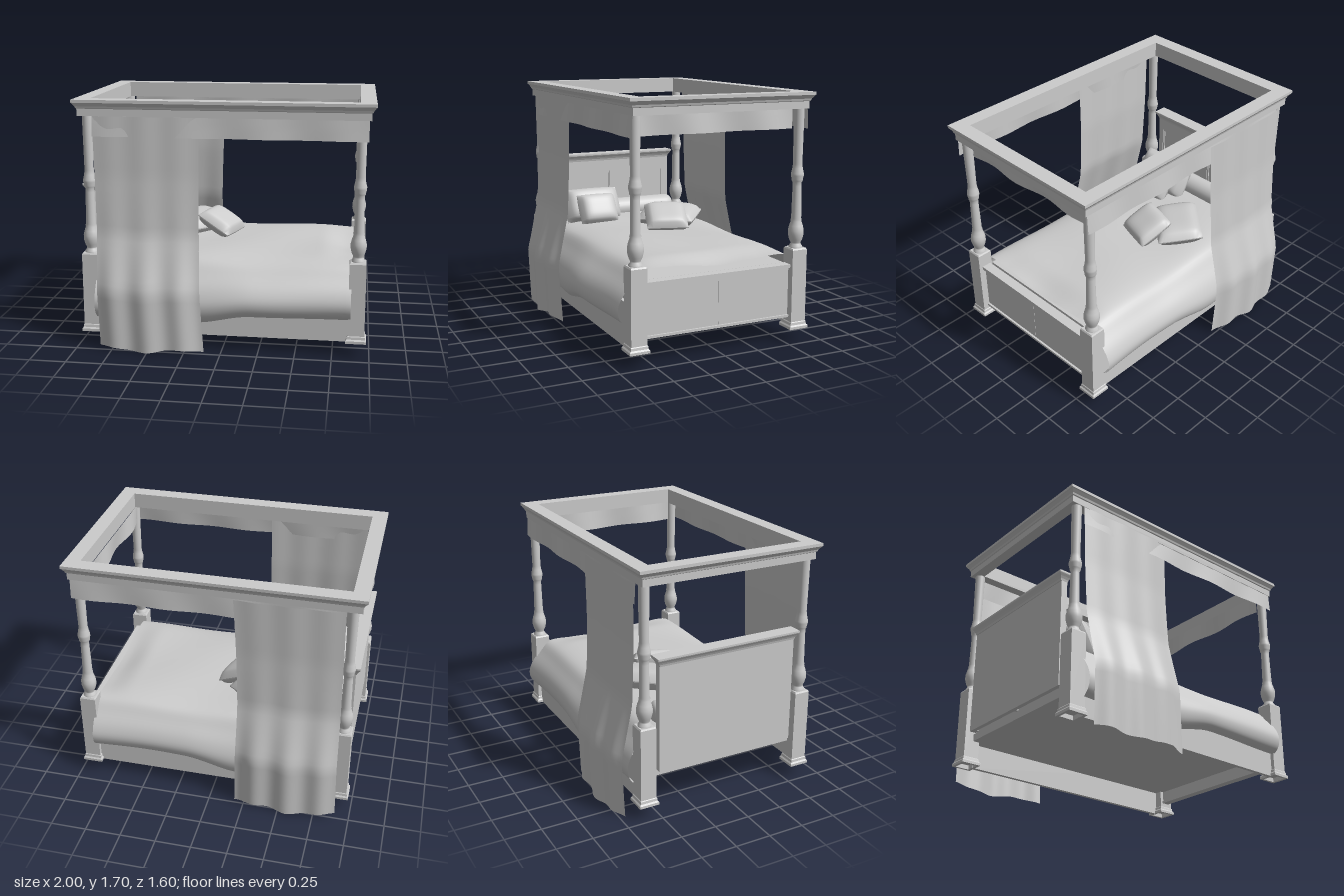
import * as THREE from 'three';

const mat = new THREE.MeshStandardMaterial({ color: 0xcccccc });
const clothMat = new THREE.MeshStandardMaterial({ color: 0xcccccc, side: THREE.DoubleSide });

function add(parent, name, geometry, x = 0, y = 0, z = 0, material = mat) {
  const mesh = new THREE.Mesh(geometry, material);
  mesh.name = name;
  mesh.position.set(x, y, z);
  parent.add(mesh);
  return mesh;
}

// Box given by its minimum and maximum on each axis
function block(parent, name, x0, x1, y0, y1, z0, z1) {
  return add(parent, name, new THREE.BoxGeometry(x1 - x0, y1 - y0, z1 - z0),
    (x0 + x1) / 2, (y0 + y1) / 2, (z0 + z1) / 2);
}

// Mitred rectangular moulding: profile of [outset, y], listed bottom to top on the outside
function moulding(hx, hz, profile) {
  const corners = [[1, 1], [1, -1], [-1, -1], [-1, 1]];
  const pos = [];
  const pt = (c, p) => [c[0] * (hx + p[0]), p[1], c[1] * (hz + p[0])];
  for (let i = 0; i < profile.length - 1; i++) {
    for (let k = 0; k < 4; k++) {
      const c = corners[k], d = corners[(k + 1) % 4];
      const a = pt(c, profile[i]), b = pt(d, profile[i]);
      const e = pt(d, profile[i + 1]), f = pt(c, profile[i + 1]);
      pos.push(...a, ...b, ...e, ...a, ...e, ...f);
    }
  }
  const g = new THREE.BufferGeometry();
  g.setAttribute('position', new THREE.Float32BufferAttribute(pos, 3));
  g.computeVertexNormals();
  return g;
}

// Cloth sheet: fn(u, v) gives a point, u and v run 0..1
function sheet(nu, nv, fn) {
  const g = new THREE.PlaneGeometry(1, 1, nu, nv);
  const p = g.attributes.position;
  for (let i = 0; i < p.count; i++) p.setXYZ(i, ...fn(p.getX(i) + 0.5, p.getY(i) + 0.5));
  g.computeVertexNormals();
  return g;
}

// Cushion: a box swollen in the middle, thin at the seam; bow rounds the outline
function cushion(w, t, d, bow) {
  const g = new THREE.BoxGeometry(2, 2, 2, 14, 1, 14);
  const p = g.attributes.position;
  for (let i = 0; i < p.count; i++) {
    const u = p.getX(i), v = p.getZ(i);
    const h = Math.sqrt(Math.max(0, (1 - u ** 4) * (1 - v ** 4)));
    p.setXYZ(i, u * w / 2 * (1 - bow * v * v), p.getY(i) * (0.004 + t / 2 * h), v * d / 2 * (1 - bow * u * u));
  }
  g.computeVertexNormals();
  return g;
}

// Lookup in [key, value] pairs, eased between keys
function ramp(x, pairs) {
  for (let i = 1; i < pairs.length; i++) {
    const [a, va] = pairs[i - 1], [b, vb] = pairs[i];
    if (x <= b) return va + (vb - va) * THREE.MathUtils.smoothstep(x, a, b);
  }
  return pairs[pairs.length - 1][1];
}

export function createModel() {
  const bed = new THREE.Group();
  bed.name = 'fourPosterBed';
  const frame = new THREE.Group();
  frame.name = 'bedFrame';
  frame.position.z = 0.008;
  bed.add(frame);

  // Four posts: square lower block with a hollow plinth, turned shaft above
  const h = 0.056;
  const blockGeo = moulding(h, h, [[-h, 0.13], [-0.005, 0.13], [-0.005, 0.1], [0.014, 0.1], [0.014, 0.118],
    [0.006, 0.128], [0.004, 0.145], [0, 0.15], [0, 0.65], [-0.006, 0.66], [-h, 0.66]]);
  const shaft = [[0.045, 0.655], [0.045, 0.67], [0.034, 0.685], [0.034, 0.695], [0.044, 0.715],
    [0.053, 0.75], [0.053, 0.78], [0.046, 0.81], [0.036, 0.84], [0.038, 0.85], [0.034, 0.86],
    [0.03, 1.08], [0.03, 1.105], [0.037, 1.115], [0.037, 1.125], [0.043, 1.15], [0.043, 1.165],
    [0.035, 1.2], [0.031, 1.23], [0.035, 1.56], [0.035, 1.605]];
  const shaftGeo = new THREE.LatheGeometry(shaft.map(p => new THREE.Vector2(...p)), 24);
  for (const sx of [-1, 1]) for (const sz of [-1, 1]) {
    const post = new THREE.Group();
    post.name = 'post';
    post.position.set(sx * 0.909, 0, sz * 0.593);
    add(post, 'postBlock', blockGeo);
    add(post, 'postShaft', shaftGeo);
    frame.add(post);
  }

  // Canopy frame with stepped cornice
  add(frame, 'canopyFrame', moulding(0.97, 0.632, [[-0.075, 1.6], [0, 1.6], [0, 1.648], [0.006, 1.652],
    [0.01, 1.665], [0.025, 1.685], [0.03, 1.69], [0.03, 1.71], [-0.075, 1.71], [-0.075, 1.6]]));

  // Side rails and base
  for (const s of [-1, 1]) block(frame, 'sideRail', -0.86, 0.86, 0.1, 0.4, s * 0.608 - 0.014, s * 0.608 + 0.014);
  block(frame, 'bedBase', -0.9, 0.88, 0.27, 0.32, -0.595, 0.595);

  // Footboard in two panels with top cap and bottom lip
  block(frame, 'footboardCore', 0.88, 0.905, 0.185, 0.525, -0.54, 0.54);
  for (const s of [-1, 1]) block(frame, 'footboardPanel', 0.9, 0.915, 0.195, 0.52, s * 0.27 - 0.269, s * 0.27 + 0.269);
  block(frame, 'footboardCap', 0.868, 0.938, 0.525, 0.55, -0.54, 0.54);
  block(frame, 'footboardLip', 0.872, 0.93, 0.178, 0.195, -0.54, 0.54);

  // Headboard: back plate, stiles and rails around two panels, cornice
  block(frame, 'headboardPlate', -0.95, -0.92, 0.32, 1.08, -0.507, 0.507);
  block(frame, 'headboardTopRail', -0.92, -0.905, 0.97, 1.08, -0.507, 0.507);
  for (const z of [-0.487, 0, 0.487]) {
    const w = z ? 0.02 : 0.012;
    block(frame, 'headboardStile', -0.92, -0.905, 0.32, 0.97, z - w, z + w);
  }
  for (const s of [-1, 1]) {
    block(frame, 'panelBead', -0.92, -0.911, 0.957, 0.97, s * 0.241 - 0.229, s * 0.241 + 0.229);
    for (const z of [0.018, 0.461]) block(frame, 'panelBead', -0.92, -0.911, 0.5, 0.957, s * z - 0.006, s * z + 0.006);
  }
  add(frame, 'headboardCornice', moulding(0.026, 0.507, [[-0.026, 1.06], [0, 1.06], [0.004, 1.075],
    [0.012, 1.09], [0.022, 1.105], [0.024, 1.11], [0.024, 1.122], [-0.026, 1.122]]), -0.929);

  // Valances along the long sides and across the foot
  for (const s of [-1, 1]) {
    add(frame, 'sideValance', sheet(48, 3, (u, v) => [-0.87 + 1.825 * u, 1.465 + 0.14 * v,
      s * (0.628 + 0.008 * (1 - v) * (1 + Math.sin(u * 22)))]), 0, 0, 0, clothMat);
  }
  add(frame, 'footValance', sheet(40, 3, (u, v) => [0.888 + 0.014 * (1 - v) * Math.sin(u * 13),
    1.465 + 0.14 * v, -0.555 + 1.11 * u]), 0, 0, 0, clothMat);

  // Mattress, and a blanket whose cross-section is swept from head to foot
  block(bed, 'mattress', -0.88, 0.85, 0.32, 0.545, -0.53, 0.545);
  const half = [[0.3, 0.645], [0.46, 0.63], [0.545, 0.6], [0.61, 0.53], [0.675, 0.45],
    [0.705, 0.37], [0.69, 0.3], [0.645, 0.255]];
  const drape = new THREE.CatmullRomCurve3([
    ...half.map(([z, y]) => new THREE.Vector3(0, y, -z)).reverse(),
    new THREE.Vector3(0, 0.645, 0),
    ...half.map(([z, y]) => new THREE.Vector3(0, y, z))]);
  add(bed, 'blanket', sheet(48, 64, (u, v) => {
    const p = drape.getPoint(v);
    const x = -0.87 + 1.74 * u;
    const side = THREE.MathUtils.clamp((0.6 - p.y) / 0.35, 0, 1);
    const hem = ramp(x, [[-0.87, -0.04], [-0.2, -0.06], [0.2, 0.005], [0.87, 0.005]]);
    const foot = THREE.MathUtils.smoothstep(x, 0.65, 0.87) * (0.045 + 0.012 * Math.cos(p.z * 9)) * (1 - side)
      * THREE.MathUtils.smoothstep(0.56 - Math.abs(p.z), 0, 0.25);
    const wave = 0.006 * Math.sin(x * 7 + p.z * 5) * (1 - side);
    const fold = side * 0.014 * Math.sin(x * 5 + (p.z > 0 ? 0.5 : 2.4)) + (p.z > 0 ? 0.016 : -0.012) * side;
    return [x, p.y + wave - foot + hem * side, p.z + Math.sign(p.z) * fold];
  }), 0, 0, 0, clothMat);

  // Bolster along the headboard, with softly rounded ends
  const end = [[0, 0.465], [0.045, 0.464], [0.068, 0.455], [0.08, 0.435], [0.083, 0.4]];
  const roll = [...end.map(([r, y]) => [r, -y]), ...end.slice().reverse()];
  const bolster = add(bed, 'bolster', new THREE.LatheGeometry(roll.map(p => new THREE.Vector2(...p)), 28),
    -0.808, 0.675, -0.012);
  bolster.rotation.x = Math.PI / 2;

  // Pillows: size and outline bow, position, yaw and tilt
  const pillows = [
    ['largePillow', [0.28, 0.19, 0.46, 0.04], [-0.7, 0.74, 0.26], 0, -1.08],
    ['smallPillow', [0.25, 0.15, 0.31, 0.03], [-0.575, 0.73, 0.26], 0, -1.05],
    ['flatCushion', [0.33, 0.14, 0.44, 0.01], [-0.31, 0.695, -0.23], -0.72, -0.12],
    ['leaningCushion', [0.28, 0.12, 0.31, 0.02], [-0.11, 0.725, -0.105], -0.31, -0.5]];
  for (const [name, size, at, yaw, tilt] of pillows) {
    const pillow = add(bed, name, cushion(...size), ...at);
    pillow.rotation.set(0, yaw, tilt, 'YXZ');
  }

  // Curtains at the head end of both long sides: [height, inner z, outer z] flaring towards the floor
  const flare = [[0, 0.728, 0.792], [0.43, 0.745, 0.802], [0.8, 0.66, 0.682], [1.19, 0.641, 0.654], [1.6, 0.637, 0.65]];
  const curtainZ = (y, f) => {
    const i = Math.max(1, flare.findIndex(k => k[0] >= y - 1e-6));
    const [a, b] = [flare[i - 1], flare[i]];
    const t = (y - a[0]) / (b[0] - a[0]);
    return THREE.MathUtils.lerp(THREE.MathUtils.lerp(a[1], a[2], f), THREE.MathUtils.lerp(b[1], b[2], f), t);
  };
  for (const s of [-1, 1]) {
    const skew = s > 0 ? 0.035 : -0.03;
    add(bed, 'curtain', sheet(48, 32, (u, v) => {
      const low = 1 - v;
      const y = 0.005 + 1.595 * v + low * 0.012 * (1 + Math.sin(u * 9 + 1));
      const x = -0.87 + 0.72 * u + skew * low - 0.02 * Math.sin(v * Math.PI) * u;
      const ripple = 0.12 + 0.66 * Math.sin(u * Math.PI) + 0.2 * Math.sin(u * 19 - 1.2);
      return [x, y, s * curtainZ(y, ripple)];
    }), 0, 0, 0, clothMat);
  }

  return bed;
}
